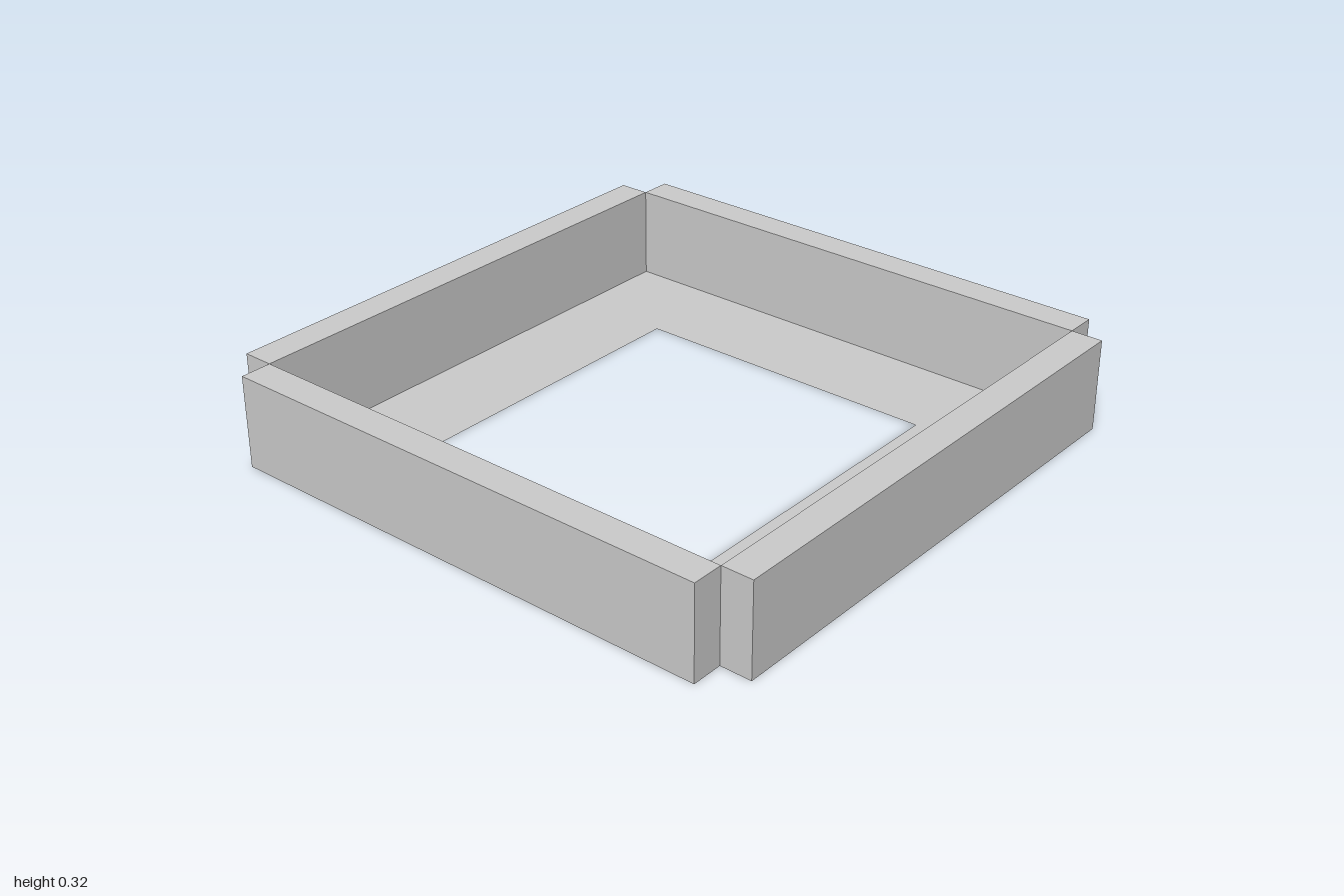
import * as THREE from 'three';

const INNER = 0.892; // half width inside the walls
const HOLE = 0.548;  // half width of the floor opening
const HEIGHT = 0.318;

// Hollow folded wall: a box without its bottom face
function wallGeometry() {
  const depth = 1 - INNER;
  const geo = new THREE.BoxGeometry(INNER * 2, HEIGHT, depth);
  const index = Array.from(geo.index.array);
  index.splice(18, 6);
  geo.setIndex(index);
  geo.clearGroups();
  geo.translate(0, HEIGHT / 2, INNER + depth / 2);
  return geo;
}

// Square outline, half width r
function square(PathType, r) {
  return new PathType([[-r, -r], [r, -r], [r, r], [-r, r]].map(([x, y]) => new THREE.Vector2(x, y)));
}

export function createModel() {
  const group = new THREE.Group();
  group.name = 'openTray';
  const material = new THREE.MeshStandardMaterial({ color: 0xcccccc, side: THREE.DoubleSide, flatShading: true });

  // Four equal walls, one per side
  const wall = wallGeometry();
  ['frontWall', 'leftWall', 'backWall', 'rightWall'].forEach((name, i) => {
    const mesh = new THREE.Mesh(wall, material);
    mesh.name = name;
    mesh.rotation.y = i * Math.PI / 2;
    group.add(mesh);
  });

  // Thin floor with a square window
  const shape = square(THREE.Shape, INNER);
  shape.holes.push(square(THREE.Path, HOLE));
  const floor = new THREE.Mesh(new THREE.ShapeGeometry(shape).rotateX(-Math.PI / 2), material);
  floor.name = 'floor';
  group.add(floor);

  return group;
}
